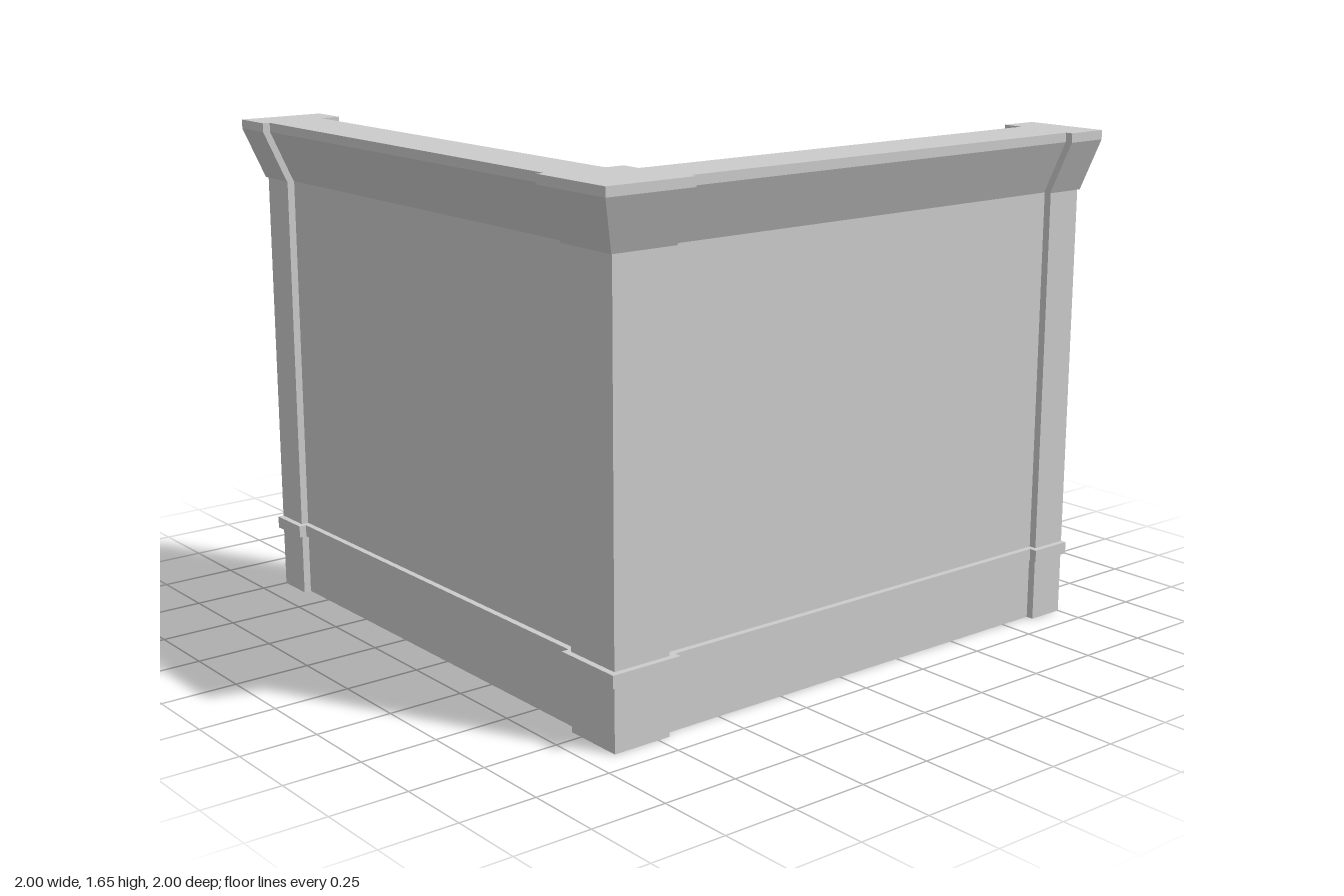
import * as THREE from 'three';

const TOP = 1.65;
const MITRE = 'mitre';
const material = new THREE.MeshStandardMaterial({ color: 0xcccccc, flatShading: true });

// Profiles are [outward distance, height] pairs
const slab = (inner, outer, y0 = 0, y1 = TOP) => [[inner, y0], [outer, y0], [outer, y1], [inner, y1]];
const cornice = (set) => [[0.84, 1.45], [0.92 - set, 1.45], [1 - set, 1.62], [1 - set, TOP], [0.84, TOP]];
const ledge = (set) => slab(0.84, 0.93 - set, 0.21, 0.25);

// Runs a profile along the front wall, or along the side wall mirrored
// about the corner diagonal; a mitred start meets its mirror twin there.
function run(name, profile, start, end, side) {
  const shape = new THREE.Shape(profile.map(([d, y]) => new THREE.Vector2(d, y)));
  const geometry = new THREE.ExtrudeGeometry(shape, { depth: 1, bevelEnabled: false });
  const p = geometry.attributes.position;
  for (let i = 0; i < p.count; i++) {
    const d = p.getX(i), t = p.getZ(i);
    const from = start === MITRE ? -d : start;
    const along = THREE.MathUtils.lerp(from, end, side ? t : 1 - t);
    if (side) p.setXYZ(i, -d, p.getY(i), -along);
    else p.setXYZ(i, along, p.getY(i), d);
  }
  geometry.computeVertexNormals();
  const mesh = new THREE.Mesh(geometry, material);
  mesh.name = name;
  return mesh;
}

export function createModel() {
  const model = new THREE.Group();
  model.name = 'cornerWall';
  const recess = 0.025;

  // Two identical walls meeting at the front corner
  for (const side of [false, true]) {
    const wall = new THREE.Group();
    wall.name = side ? 'sideWall' : 'frontWall';
    wall.add(
      run('panel', slab(0.775, 0.91 - recess), MITRE, 1, side),
      run('endPillar', slab(0.705, 0.91), 0.87, 1, side),
      // Mouldings set back along the panel
      run('panelCornice', cornice(recess), MITRE, 1, side),
      run('panelLedge', ledge(recess), MITRE, 1, side),
      // Mouldings stepping out around the pillars
      run('cornerCornice', cornice(0), MITRE, -0.69, side),
      run('endCornice', cornice(0), 0.855, 1, side),
      run('cornerLedge', ledge(0), MITRE, -0.685, side),
      run('endLedge', ledge(0), 0.85, 1, side)
    );
    model.add(wall);
  }

  // Shared pillar at the corner
  model.add(run('cornerPillar', slab(0.705, 0.91), -0.91, -0.71, false));
  return model;
}
